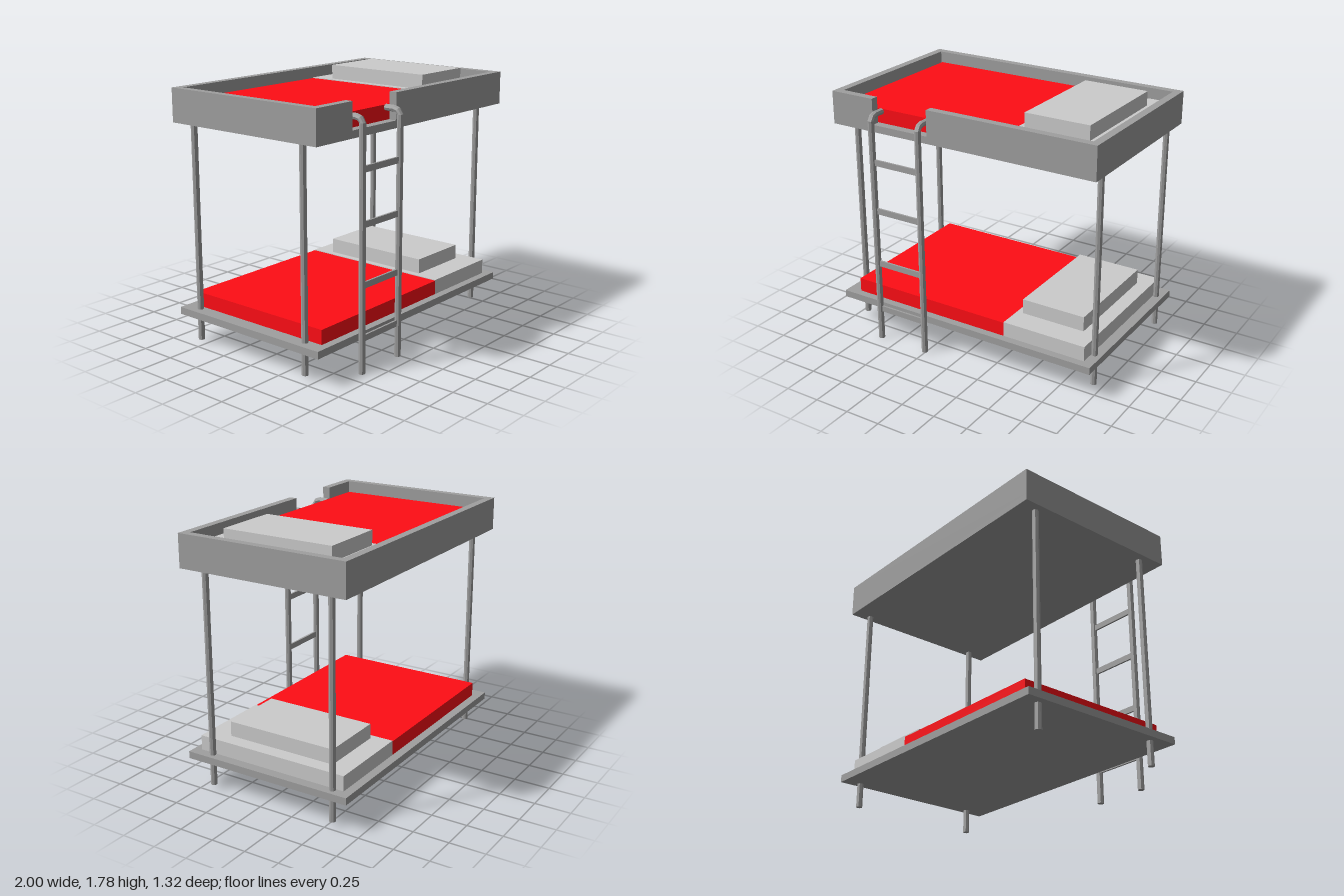
import * as THREE from 'three';

const FRAME = 0x9f9f9f, LINEN = 0xcccccc, BLANKET = 0xff0d15;
const material = (color) => new THREE.MeshStandardMaterial({ color, flatShading: true });

function add(parent, name, geometry, color) {
  const mesh = new THREE.Mesh(geometry, material(color));
  mesh.name = name;
  parent.add(mesh);
  return mesh;
}

// Box given by its extents on each axis
function box(parent, name, [x0, x1], [y0, y1], [z0, z1], color) {
  const mesh = add(parent, name, new THREE.BoxGeometry(x1 - x0, y1 - y0, z1 - z0), color);
  mesh.position.set((x0 + x1) / 2, (y0 + y1) / 2, (z0 + z1) / 2);
  return mesh;
}

// Straight-sided path with sharp bends, one tube ring per point
class Polyline extends THREE.Curve {
  constructor(points) { super(); this.points = points; }
  getPoint(t, target = new THREE.Vector3()) {
    const n = this.points.length - 1;
    const i = Math.min(Math.floor(t * n + 1e-9), n - 1);
    return target.lerpVectors(this.points[i], this.points[i + 1], t * n - i);
  }
  getPointAt(t, target) { return this.getPoint(t, target); }
  getTangentAt(t, target) { return this.getTangent(t, target); }
}

// Mattress, blanket and pillow
function bedding(name, x, y, z, pillowTop) {
  const group = new THREE.Group();
  group.name = name;
  const split = 0.32;
  box(group, 'blanket', [x[0], split], [y, y + 0.1], z, BLANKET);
  box(group, 'mattress', [split, x[1]], [y, y + 0.105], z, LINEN);
  box(group, 'pillow', [0.365, 0.83], [y + 0.105, pillowTop], [-0.455, 0.355], LINEN);
  return group;
}

export function createModel() {
  const model = new THREE.Group();
  model.name = 'bunkBed';
  const backZ = -0.66, frontZ = 0.585, wall = 0.055;

  // Lower bunk
  box(model, 'lowerBase', [-1, 1], [0.2, 0.25], [backZ, frontZ], FRAME);
  model.add(bedding('lowerBedding', [-0.9, 0.93], 0.25, [-0.6, 0.53], 0.46));

  // Upper bunk: floor and guard wall with an opening for the ladder
  box(model, 'upperBase', [-1, 1], [1.53, 1.58], [backZ, frontZ], FRAME);
  const gap = [-0.665, -0.23], inX = 1 - wall, inBack = backZ + wall, inFront = frontZ - wall;
  const outline = [
    [gap[1], frontZ], [1, frontZ], [1, backZ], [-1, backZ], [-1, frontZ], [gap[0], frontZ],
    [gap[0], inFront], [-inX, inFront], [-inX, inBack], [inX, inBack], [inX, inFront], [gap[1], inFront],
  ].map(([x, z]) => new THREE.Vector2(x, -z));
  const wallGeometry = new THREE.ExtrudeGeometry(new THREE.Shape(outline), { depth: 0.18, bevelEnabled: false });
  wallGeometry.rotateX(-Math.PI / 2);
  add(model, 'guardWall', wallGeometry, FRAME).position.y = 1.58;
  model.add(bedding('upperBedding', [-0.935, 0.935], 1.58, [-0.603, 0.522], 1.785));

  // Corner posts
  for (const x of [-0.935, 0.95]) {
    for (const z of [0.42, -0.53]) {
      const post = add(model, 'post', new THREE.CylinderGeometry(0.022, 0.022, 1.5, 8), FRAME);
      post.position.set(x, 0.78, z);
    }
  }

  // Ladder: two rails hooked over the upper base, joined by flat rungs
  const ladder = new THREE.Group();
  ladder.name = 'ladder';
  model.add(ladder);
  const railX = [-0.637, -0.26], railZ = 0.64, r = 0.022;
  for (const x of railX) {
    const path = [[0, railZ], [1.63, railZ], [1.655, 0.622], [1.663, 0.595], [1.663, 0.525]]
      .map(([y, z]) => new THREE.Vector3(x, y, z));
    add(ladder, 'rail', new THREE.TubeGeometry(new Polyline(path), path.length - 1, r, 8), FRAME);
    const foot = add(ladder, 'railFoot', new THREE.CircleGeometry(r, 8), FRAME);
    foot.rotation.x = Math.PI / 2;
    foot.position.set(x, 0, railZ);
    const end = add(ladder, 'railEnd', new THREE.CircleGeometry(r, 8), FRAME);
    end.rotation.y = Math.PI;
    end.position.set(x, 1.663, 0.525);
  }
  for (const y of [0.237, 0.592, 0.988, 1.34]) {
    box(ladder, 'rung', railX, [y - 0.021, y + 0.021], [railZ - 0.008, railZ + 0.006], FRAME);
  }

  return model;
}
